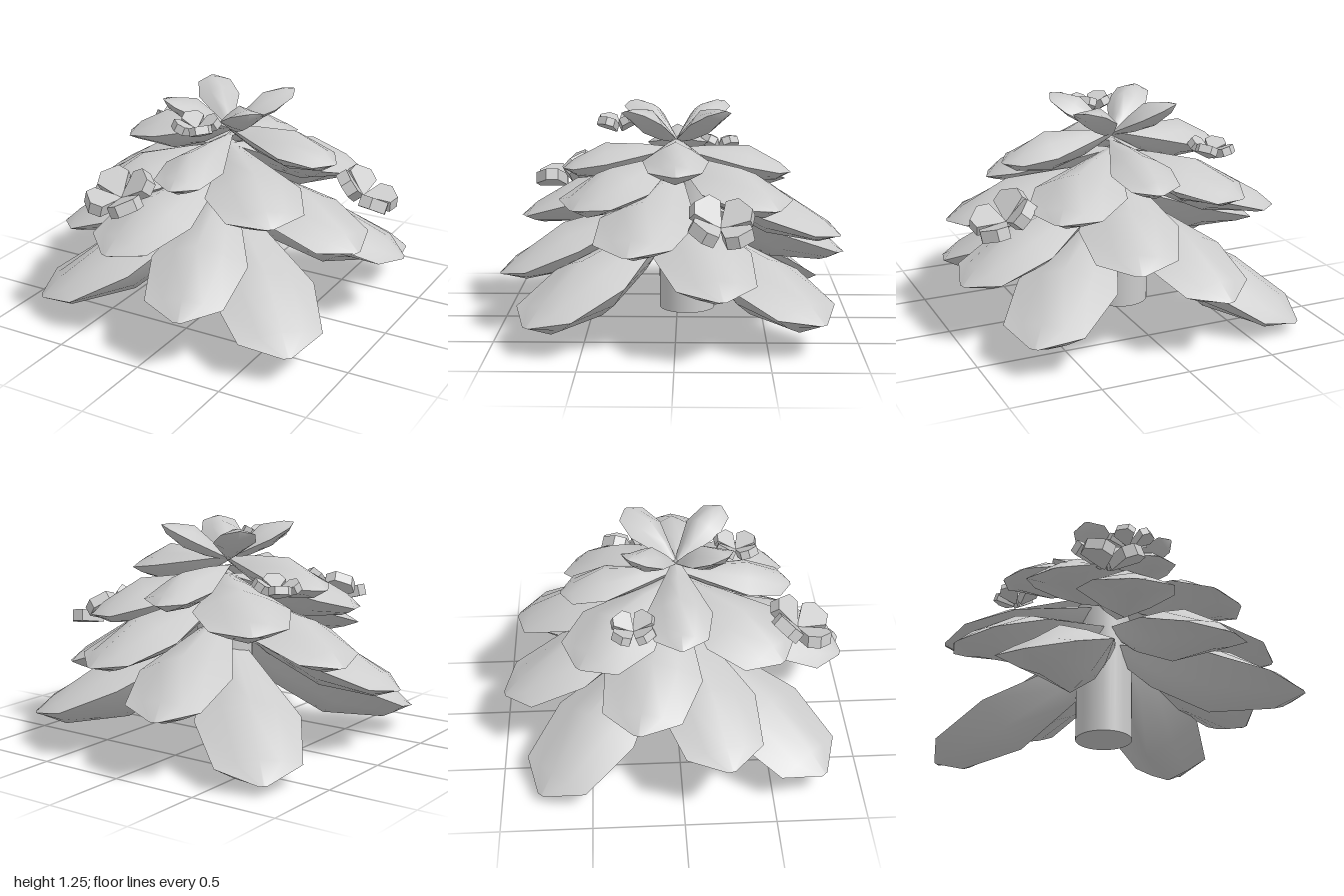
import * as THREE from 'three';
import { mergeGeometries } from 'three/addons/utils/BufferGeometryUtils.js';

const material = new THREE.MeshStandardMaterial({ color: 0xcccccc, side: THREE.DoubleSide });
const flatMaterial = new THREE.MeshStandardMaterial({ color: 0xcccccc, flatShading: true });

// Leaf stations along its length: [position, half width, ridge height, keel depth]
const STATIONS = [
  [0, 0.1, 0, 0.2], [0.28, 0.52, 0.55, 0.75], [0.6, 1, 1, 1], [0.89, 0.8, 0.42, 0.55], [1, 0.08, 0, 0],
];
const ACROSS = [-1, -0.5, 0, 0.5, 1];

// One skin of a leaf: domed on top (side 1) or keeled underneath (side -1)
function leafSkin(length, halfWidth, height, side) {
  const points = [], faces = [], n = ACROSS.length;
  for (const [s, w, ridge, keel] of STATIONS) {
    for (const t of ACROSS) {
      const bulge = 1 - Math.abs(t) ** 1.25;
      points.push(s * length, side * height * bulge * (side > 0 ? ridge : keel), t * w * halfWidth);
    }
  }
  for (let i = 0; i < STATIONS.length - 1; i++) {
    for (let j = 0; j < n - 1; j++) {
      const a = i * n + j, b = a + 1, c = a + n, d = c + 1;
      if (side > 0) faces.push(a, b, c, b, d, c);
      else faces.push(a, c, b, b, c, d);
    }
  }
  const geometry = new THREE.BufferGeometry();
  geometry.setAttribute('position', new THREE.Float32BufferAttribute(points, 3));
  geometry.setIndex(faces);
  geometry.computeVertexNormals();
  return geometry;
}

// A leaf from the plant's axis to its tip, turned by degrees from +x towards +z
function makeLeaf(name, degrees, reach, halfWidth, baseY, tipY, top, bottom) {
  const length = Math.hypot(reach, tipY - baseY);
  const geometry = mergeGeometries([
    leafSkin(length, halfWidth, top, 1), leafSkin(length, halfWidth, bottom, -1),
  ]);
  const leaf = new THREE.Mesh(geometry, material);
  leaf.name = name;
  leaf.position.y = baseY;
  leaf.rotation.set(0, -THREE.MathUtils.degToRad(degrees), Math.atan2(tipY - baseY, reach), 'YZX');
  return leaf;
}

// A blunt, thick petal lying along +x, its upper face at y = 0
function petalGeometry() {
  const shape = new THREE.Shape([
    [0.02, -0.05], [0.74, -0.53], [1.06, -0.3], [1.06, 0.3], [0.74, 0.53], [0.02, 0.05],
  ].map(([x, y]) => new THREE.Vector2(x, y)));
  const geometry = new THREE.ExtrudeGeometry(shape, { depth: 0.38, bevelEnabled: false });
  geometry.rotateX(-Math.PI / 2);
  geometry.translate(0, -0.38, 0);
  return geometry;
}

// Four petals in a cup, leaning outwards by tilt in the direction given in degrees
function makeFlower(name, size, position, degrees, tilt) {
  const flower = new THREE.Group();
  flower.name = name;
  const petal = petalGeometry();
  for (let i = 0; i < 4; i++) {
    const mesh = new THREE.Mesh(petal, flatMaterial);
    mesh.name = 'petal';
    mesh.rotation.set(0, Math.PI / 4 + i * Math.PI / 2, 0.5, 'YZX');
    flower.add(mesh);
  }
  flower.scale.setScalar(size);
  flower.position.set(...position);
  const a = THREE.MathUtils.degToRad(degrees);
  flower.quaternion.setFromAxisAngle(
    new THREE.Vector3(Math.sin(a), 0, -Math.cos(a)), THREE.MathUtils.degToRad(tilt));
  return flower;
}

export function createModel() {
  const model = new THREE.Group();
  model.name = 'floweringPlant';

  // Trunk
  const trunk = new THREE.Mesh(new THREE.CylinderGeometry(0.16, 0.16, 0.81, 32), material);
  trunk.name = 'trunk';
  trunk.position.set(-0.02, 0.465, -0.06);
  model.add(trunk);

  // Whorls of evenly spaced leaves, top to bottom; tipY goes round from the start angle
  const whorls = [
    { name: 'crownLeaf', start: 45, reach: 0.38, halfWidth: 0.12, baseY: 1.04, tipY: [1.24, 1.24, 1.24, 1.24], top: 0.08, bottom: 0.06 },
    { name: 'upperSideLeaf', start: 0, reach: 0.66, halfWidth: 0.18, baseY: 1.05, tipY: [0.94, 0.92], top: 0.11, bottom: 0.12 },
    { name: 'upperFrontLeaf', start: 90, reach: 0.65, halfWidth: 0.18, baseY: 1.0, tipY: [0.88, 0.86], top: 0.1, bottom: 0.11 },
    { name: 'middleLeaf', start: 45, reach: 0.78, halfWidth: 0.27, baseY: 0.95, tipY: [0.74, 0.74, 0.74, 0.74], top: 0.12, bottom: 0.14 },
    { name: 'wideLeaf', start: 15, reach: 0.95, halfWidth: 0.27, baseY: 0.86, tipY: [0.57, 0.56, 0.57, 0.54], top: 0.12, bottom: 0.14 },
    { name: 'lowerLeaf', start: -14, reach: 1.02, halfWidth: 0.27, baseY: 0.73, tipY: [0.36, 0.32, 0.36, 0.34], top: 0.12, bottom: 0.17 },
    { name: 'bottomLeaf', start: 45, reach: 1.11, halfWidth: 0.29, baseY: 0.62, tipY: [0.16, 0.13, 0.05, 0.18], top: 0.12, bottom: 0.24 },
  ];
  for (const w of whorls) {
    const whorl = new THREE.Group();
    whorl.name = w.name + 's';
    w.tipY.forEach((tipY, i) => whorl.add(makeLeaf(
      w.name, w.start + i * 360 / w.tipY.length, w.reach, w.halfWidth, w.baseY, tipY, w.top, w.bottom)));
    model.add(whorl);
  }

  // Flowers resting on the leaves
  model.add(
    makeFlower('frontFlower', 0.175, [-0.3, 0.79, 0.66], 98, 24),
    makeFlower('sideFlower', 0.175, [0.73, 0.69, -0.24], -15, 30),
    makeFlower('topFlower', 0.12, [-0.02, 1.13, 0.33], 90, 5),
    makeFlower('backFlower', 0.12, [-0.5, 0.94, -0.25], 205, 8),
  );
  return model;
}
